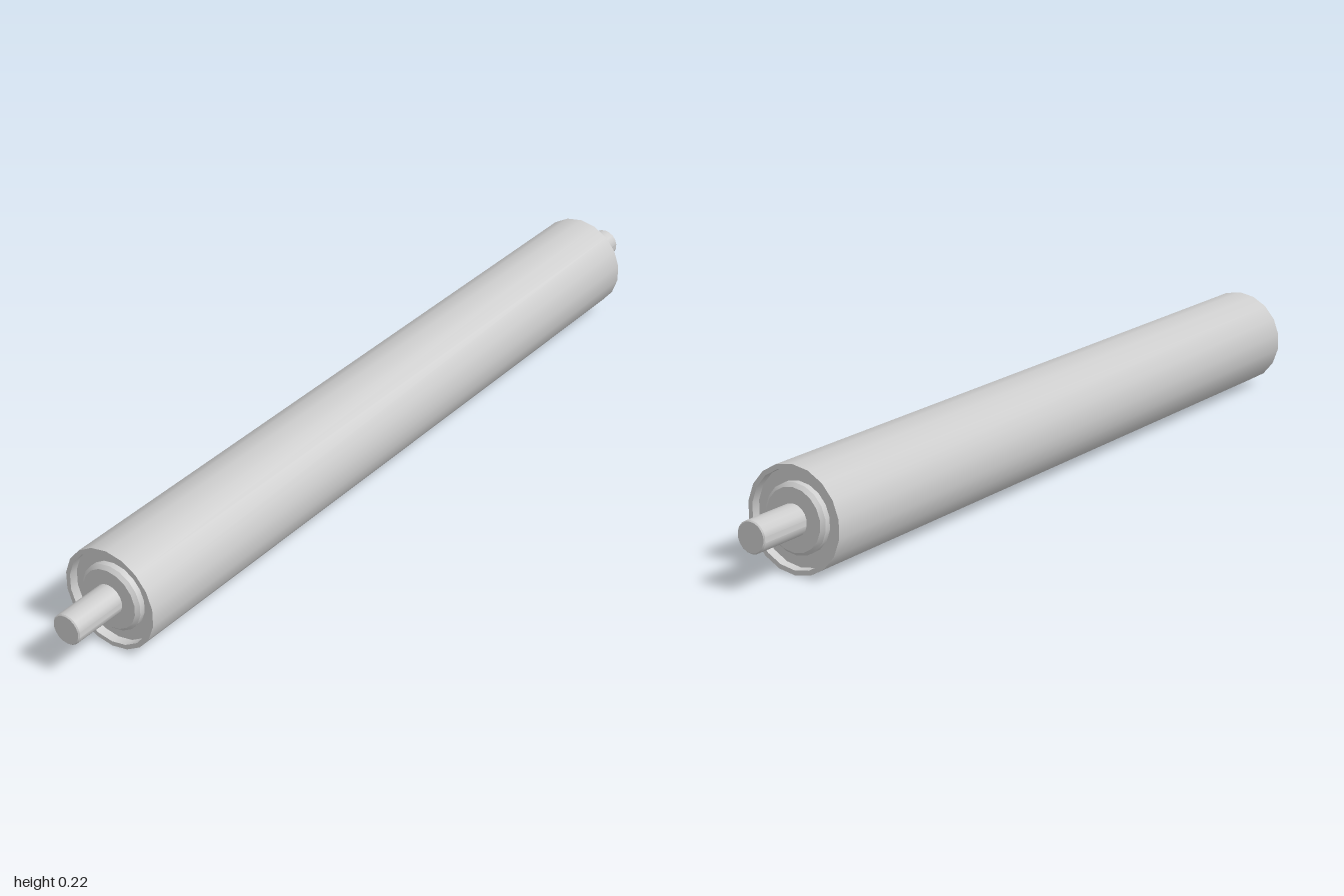
import * as THREE from 'three';
import { toCreasedNormals } from 'three/addons/utils/BufferGeometryUtils.js';

const SIDES = 18;
const AXIS_Y = 0.1117;

export function createModel() {
  const group = new THREE.Group();
  const material = new THREE.MeshStandardMaterial({ color: 0xcccccc });

  // Turns a profile of [radius, z] points around the z axis
  function turned(name, profile) {
    const points = profile.map(([r, z]) => new THREE.Vector2(r, z));
    const lathe = new THREE.LatheGeometry(points, SIDES).rotateX(Math.PI / 2);
    const mesh = new THREE.Mesh(toCreasedNormals(lathe, 0.6), material);
    mesh.name = name;
    return mesh;
  }

  const roller = new THREE.Group();
  roller.name = 'roller';
  roller.position.y = AXIS_Y;
  group.add(roller);

  // Hollow outer tube with a thin wall
  roller.add(turned('tube', [
    [0.1017, -0.875], [0.1117, -0.875], [0.1117, 0.875], [0.1017, 0.875], [0.1017, -0.875],
  ]));

  // Axle through the whole roller, with lightly chamfered tips
  roller.add(turned('axle', [
    [0, -1], [0.031, -1], [0.0335, -0.9975], [0.0335, 0.9975], [0.031, 1], [0, 1],
  ]));

  // Recessed end plate and chamfered bearing housing at both ends
  for (const [side, turn] of [['front', 0], ['back', Math.PI]]) {
    const end = new THREE.Group();
    end.name = side + 'End';
    end.rotation.y = turn;
    end.add(turned('endPlate', [[0, 0.835], [0.1017, 0.835], [0.1017, 0.855], [0, 0.855]]));
    end.add(turned('bearingHousing', [
      [0.0735, 0.85], [0.0735, 0.868], [0.066, 0.8755], [0, 0.8755],
    ]));
    roller.add(end);
  }

  return group;
}
